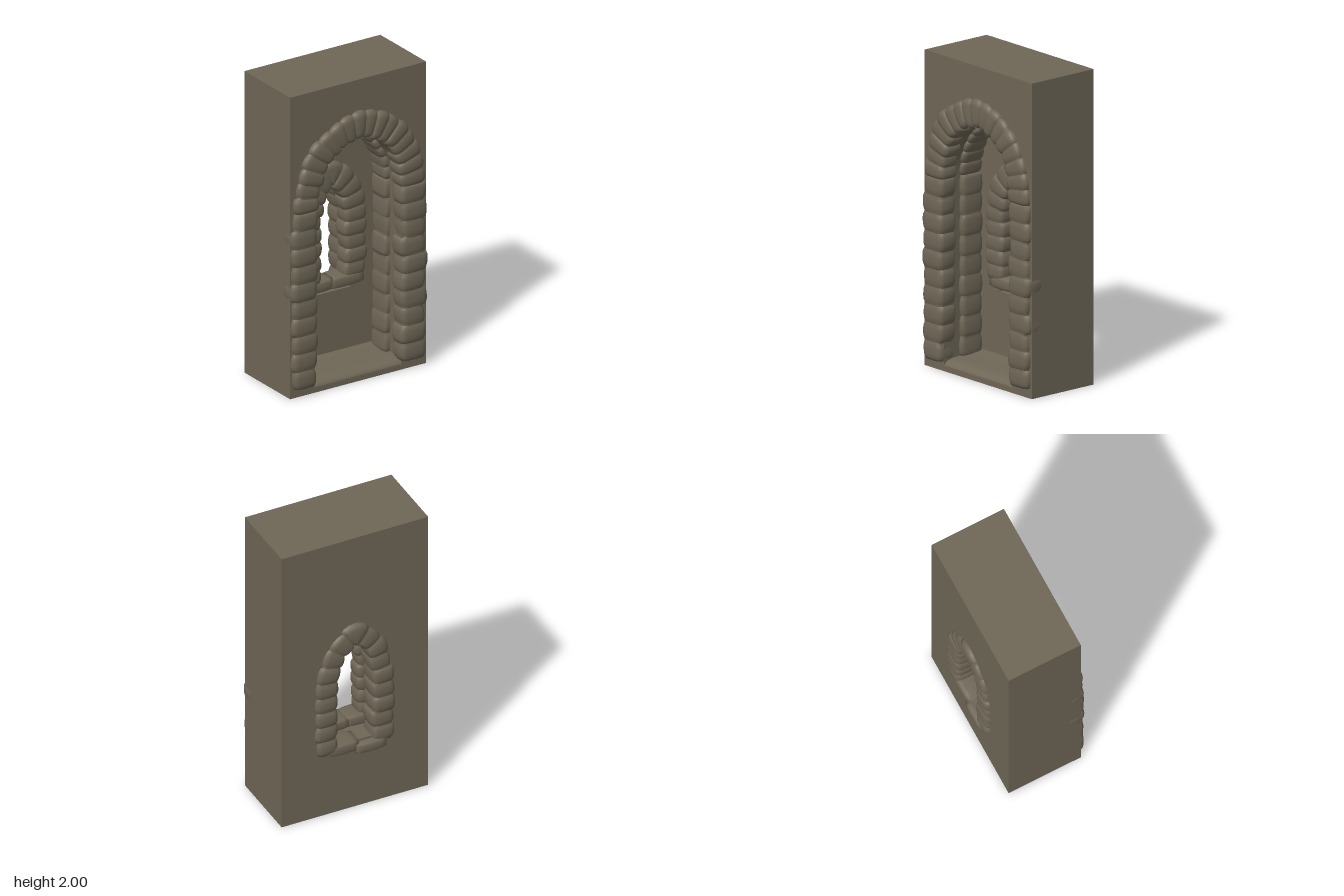
import * as THREE from 'three';

const stone = new THREE.MeshStandardMaterial({ color: 0x6e6656 });
stone.name = 'weathered stone';

// Small seeded generator for irregular masonry
let seed = 7;
const jitter = (amount) => {
  seed = (seed * 16807) % 2147483647;
  return (seed / 2147483647 * 2 - 1) * amount;
};

function add(group, name, geometry) {
  const mesh = new THREE.Mesh(geometry, stone);
  mesh.name = name;
  group.add(mesh);
  return mesh;
}

// A row of bulging stones along a path in the xy plane, pinched at each joint
function stoneRow(path, { count, width, depth, z, rough = 1, pinch = 0.12 }) {
  const RINGS = 6, SIDES = 20;
  const pos = [], idx = [];
  const power = (v) => Math.sign(v) * Math.abs(v) ** 0.5;
  const e = 1e-3;
  for (let s = 0; s < count; s++) {
    const wide = 1 + jitter(0.07 * rough), thick = 1 + jitter(0.05 * rough);
    const shift = jitter(0.008 * rough), skew = jitter(0.006 * rough);
    for (let r = 0; r <= RINGS; r++) {
      const f = r / RINGS, t = (s + f) / count;
      const [cx, cy] = path(t);
      const [ax, ay] = path(Math.max(0, t - e)), [bx, by] = path(Math.min(1, t + e));
      const len = Math.hypot(bx - ax, by - ay);
      const nx = (by - ay) / len, ny = -(bx - ax) / len;
      const scale = 1 - pinch * Math.abs(2 * f - 1) ** 3;
      for (let j = 0; j < SIDES; j++) {
        const a = j / SIDES * Math.PI * 2;
        const u = power(Math.cos(a)) * width / 2 * scale * wide + shift + skew * (2 * f - 1);
        const v = power(Math.sin(a)) * depth / 2 * scale * thick;
        pos.push(cx + nx * u, cy + ny * u, z + v);
      }
    }
  }
  const rings = count * (RINGS + 1);
  for (let i = 0; i < rings - 1; i++) for (let j = 0; j < SIDES; j++) {
    const k = (j + 1) % SIDES;
    const a = i * SIDES + j, b = i * SIDES + k, c = a + SIDES, d = b + SIDES;
    idx.push(a, c, b, b, c, d);
  }
  // End caps
  const last = (rings - 1) * SIDES, mid = pos.length / 3;
  pos.push(...path(0), z, ...path(1), z);
  for (let j = 0; j < SIDES; j++) {
    const k = (j + 1) % SIDES;
    idx.push(mid, j, k, mid + 1, last + k, last + j);
  }
  const geo = new THREE.BufferGeometry();
  geo.setAttribute('position', new THREE.Float32BufferAttribute(pos, 3));
  geo.setIndex(idx);
  geo.computeVertexNormals();
  return geo;
}

const line = (x0, y0, x1, y1) => (t) => [x0 + (x1 - x0) * t, y0 + (y1 - y0) * t];
const arch = (a, b, y) => (t) => [a * Math.cos(Math.PI * t), y + b * Math.sin(Math.PI * t)];

// Path up one window jamb, over the head and down the other
function windowPath(points) {
  const mirrored = points.slice(0, -1).reverse().map(([x, y]) => [-x, y]);
  const curve = new THREE.CatmullRomCurve3(
    [...points, ...mirrored].map(([x, y]) => new THREE.Vector3(x, y, 0)));
  return (t) => {
    const p = curve.getPointAt(t);
    return [p.x, p.y];
  };
}

// Slab of wall pierced by an arched opening
function wallSlab(half, bottom, spring, rise, z, depth) {
  const shape = new THREE.Shape();
  shape.moveTo(-0.5, 0).lineTo(0.5, 0).lineTo(0.5, 2).lineTo(-0.5, 2).closePath();
  const hole = new THREE.Path();
  hole.moveTo(-half, bottom).lineTo(half, bottom).lineTo(half, spring);
  hole.absellipse(0, spring, half, rise, 0, Math.PI, false, 0);
  hole.closePath();
  shape.holes.push(hole);
  const geo = new THREE.ExtrudeGeometry(shape, { depth, bevelEnabled: false, curveSegments: 28 });
  return geo.translate(0, 0, z);
}

export function createModel() {
  const model = new THREE.Group();
  model.name = 'archedNicheWall';

  // Thick wall: front slab holds the niche, back slab holds the window
  add(model, 'nicheWall', wallSlab(0.32, 0.03, 1.22, 0.385, -0.05, 0.293));
  add(model, 'windowWall', wallSlab(0.14, 0.49, 1.05, 0.2, -0.255, 0.205));

  // Worn niche floor sloping to a rounded lip
  const floor = new THREE.Shape();
  floor.moveTo(-0.05, 0.02).lineTo(0.242, 0.02).lineTo(0.242, 0.035);
  floor.quadraticCurveTo(0.23, 0.066, 0.16, 0.072);
  floor.quadraticCurveTo(0.05, 0.078, -0.05, 0.09).closePath();
  const floorMesh = add(model, 'nicheFloor',
    new THREE.ExtrudeGeometry(floor, { depth: 0.64, bevelEnabled: false }));
  floorMesh.rotation.y = -Math.PI / 2;
  floorMesh.position.x = 0.32;

  // Outer and inner stone surrounds of the niche
  const front = { width: 0.185, depth: 0.14, z: 0.212 };
  const inner = { width: 0.09, depth: 0.17, z: 0.035, rough: 0.6 };
  for (const side of [-1, 1]) {
    add(model, 'frontPier', stoneRow(line(0.4 * side, 0.06, 0.4 * side, 1.22), { ...front, count: 10 }));
    add(model, 'innerPier', stoneRow(line(0.33 * side, 0.07, 0.33 * side, 1.22), { ...inner, count: 9 }));
  }
  add(model, 'frontArch', stoneRow(arch(0.395, 0.48, 1.22), { ...front, count: 17 }));
  add(model, 'innerArch', stoneRow(arch(0.33, 0.395, 1.22), { ...inner, count: 15 }));

  // Window surrounds on both faces, meeting inside the opening
  const frontTrim = windowPath([[0.165, 0.57], [0.162, 0.8], [0.16, 1.0], [0.125, 1.16], [0, 1.275]]);
  add(model, 'windowTrimFront', stoneRow(frontTrim, { count: 17, width: 0.165, depth: 0.13, z: -0.077 }));
  const backTrim = windowPath([[0.19, 0.45], [0.19, 0.75], [0.18, 1.0], [0.14, 1.16], [0, 1.28]]);
  add(model, 'windowTrimBack', stoneRow(backTrim, { count: 17, width: 0.155, depth: 0.17, z: -0.202 }));

  // Window sills, two stones each
  const sill = { count: 1, rough: 0.5 };
  add(model, 'frontSillRight', stoneRow(line(-0.2, 0.55, 0.0, 0.545), { ...sill, width: 0.085, depth: 0.15, z: -0.085 }));
  add(model, 'frontSillLeft', stoneRow(line(-0.02, 0.545, 0.22, 0.55), { ...sill, width: 0.085, depth: 0.15, z: -0.085 }));
  add(model, 'backSillRight', stoneRow(line(-0.2, 0.43, 0.0, 0.435), { ...sill, width: 0.085, depth: 0.17, z: -0.215 }));
  add(model, 'backSillLeft', stoneRow(line(-0.02, 0.46, 0.2, 0.465), { ...sill, width: 0.085, depth: 0.16, z: -0.205 }));

  return model;
}
